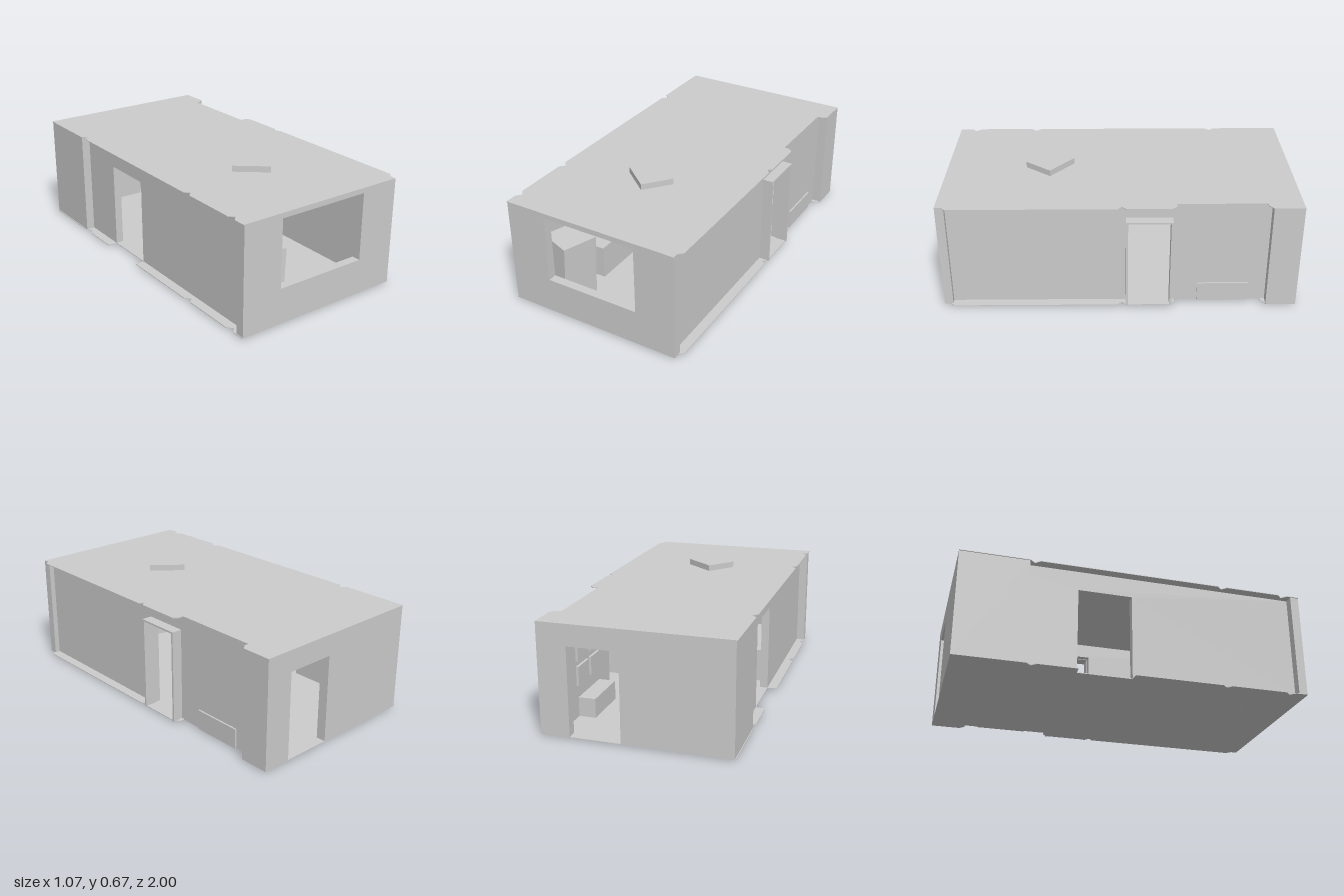
import * as THREE from 'three';

const FLOOR = 0.01, TOP = 0.635;

export function createModel() {
  const model = new THREE.Group();
  const material = new THREE.MeshStandardMaterial({ color: 0xcccccc, flatShading: true });
  const smooth = new THREE.MeshStandardMaterial({ color: 0xcccccc });

  function add(name, geometry, mat = material) {
    const mesh = new THREE.Mesh(geometry, mat);
    mesh.name = name;
    model.add(mesh);
    return mesh;
  }

  // Box given by its limits on each axis
  function box(name, [x0, x1], [y0, y1], [z0, z1]) {
    const mesh = add(name, new THREE.BoxGeometry(x1 - x0, y1 - y0, z1 - z0));
    mesh.position.set((x0 + x1) / 2, (y0 + y1) / 2, (z0 + z1) / 2);
    return mesh;
  }

  const polygon = (points) => new THREE.Shape(points.map(([x, y]) => new THREE.Vector2(x, y)));
  const extrude = (shape, depth) => new THREE.ExtrudeGeometry(shape, { depth, bevelEnabled: false });

  // Wall outline from u0 to u1; a doorway reaches the floor
  function doorWall(u0, u1, d0, d1, doorTop) {
    return polygon([[u0, FLOOR], [d0, FLOOR], [d0, doorTop], [d1, doorTop],
      [d1, FLOOR], [u1, FLOOR], [u1, TOP], [u0, TOP]]);
  }

  // Front wall with its window
  const front = polygon([[-0.53, FLOOR], [0.5, FLOOR], [0.5, TOP], [-0.53, TOP]]);
  front.holes.push(polygon([[-0.29, 0.215], [-0.29, 0.605], [0.265, 0.605], [0.265, 0.215]]));
  add('frontWall', extrude(front, 0.05)).position.z = 0.95;
  box('windowLintel', [-0.29, 0.265], [0.58, 0.61], [0.935, 0.952]);

  // Back wall with its doorway
  add('backWall', extrude(doorWall(-0.53, 0.525, 0.075, 0.36, 0.515), 0.055)).position.z = -1;

  // Side walls, set in from the corners
  const leftWall = add('leftWall', extrude(doorWall(-0.96, 0.96, -0.285, -0.04, 0.545), 0.045));
  leftWall.rotation.y = -Math.PI / 2;
  leftWall.position.x = 0.47;
  const rightWall = add('rightWall', extrude(doorWall(-0.96, 0.96, -0.325, -0.015, 0.515), 0.045));
  rightWall.rotation.y = -Math.PI / 2;
  rightWall.position.x = -0.435;

  // Thicker wall stretches at the back corners
  box('backLeftPost', [0.45, 0.525], [FLOOR, TOP], [-0.999, -0.83]);
  box('backRightPost', [-0.53, -0.46], [FLOOR, TOP], [-0.999, -0.61]);

  // Roof and floor slabs with chipped edges
  const leftEdge = [[0.525, -1], [0.525, -0.83], [0.495, -0.805], [0.47, -0.805], [0.47, -0.31],
    [0.5, -0.31], [0.525, -0.285], [0.525, -0.035], [0.5, -0.01], [0.525, 0.01],
    [0.525, 0.94], [0.5, 0.965], [0.5, 1]];
  const rightEdge = [[-0.535, 1]];
  for (const z of [0.9, 0.52, -0.58]) rightEdge.push([-0.535, z + 0.03], [-0.507, z], [-0.535, z - 0.03]);
  rightEdge.push([-0.535, -1]);
  // The floor is also cut back at the right doorway
  const floorRight = [...rightEdge];
  floorRight.splice(7, 0, [-0.535, -0.01], [-0.48, -0.015], [-0.48, -0.325], [-0.535, -0.33]);
  function slab(name, outline, y) {
    const mesh = add(name, extrude(polygon(outline), 0.004));
    mesh.rotation.x = Math.PI / 2;
    mesh.position.y = y;
  }
  slab('roof', [...leftEdge, ...rightEdge], TOP);
  slab('floor', [...leftEdge, ...floorRight], FLOOR + 0.004);

  // Door frame of thin boards on the left side
  for (const z of [-0.292, -0.045]) box('doorJamb', [0.46, 0.53], [FLOOR, 0.552], [z, z + 0.012]);
  box('doorHead', [0.46, 0.53], [0.542, 0.552], [-0.285, -0.04]);

  // Turned box passing through the roof
  const hung = box('ceilingBox', [-0.117, 0.096], [0.445, 0.67], [0.308, 0.493]);
  hung.rotation.y = -0.685;

  // Leaning cabinet behind the window
  const cabinet = add('leaningCabinet', new THREE.BoxGeometry(0.19, 0.395, 0.21));
  cabinet.position.set(-0.282, 0.207, 0.82);
  cabinet.rotation.set(0, -0.31, -0.05, 'ZYX');

  // Round tank, furniture and wall panels inside
  add('tank', new THREE.CylinderGeometry(0.048, 0.048, 0.2, 32), smooth).position.set(-0.237, 0.495, -0.59);
  box('lowChest', [0.327, 0.48], [FLOOR, 0.125], [-0.73, -0.44]);
  box('bench', [-0.43, -0.22], [FLOOR, 0.21], [0.09, 0.6]);
  for (const y of [0.2, 0.34])
    for (const z of [-0.75, -0.58]) box('wallPanel', [0.41, 0.43], [y, y + 0.11], [z, z + 0.14]);

  return model;
}
